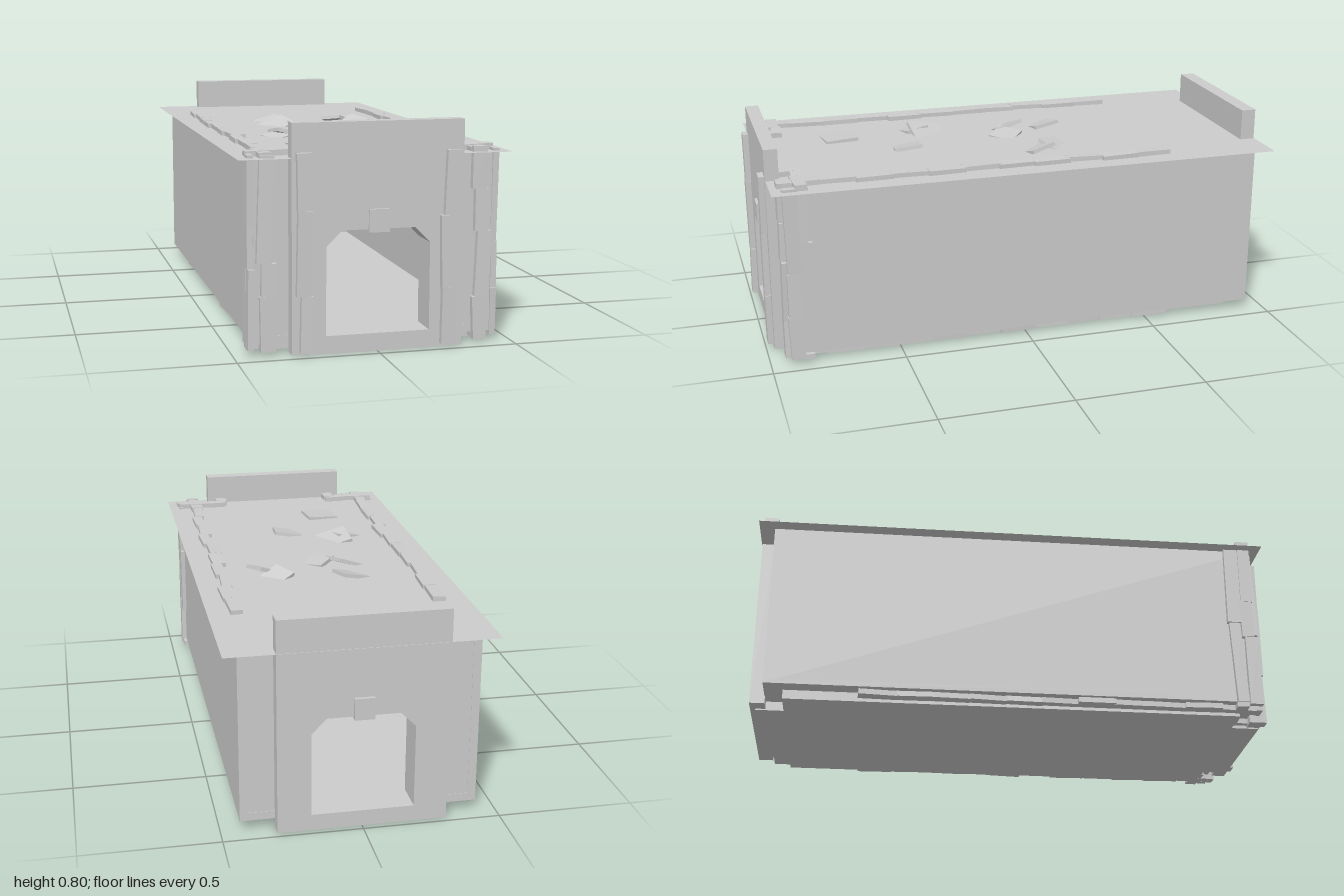
import * as THREE from 'three';

const stone = new THREE.MeshStandardMaterial({ color: 0xcccccc, flatShading: true });
stone.name = 'grey stone';
const stoneSheet = new THREE.MeshStandardMaterial({ color: 0xcccccc, side: THREE.DoubleSide });
stoneSheet.name = 'grey sheet';

// Small seeded generator, returns -1..1
let seed = 7;
const rnd = () => {
  seed = (seed * 16807) % 2147483647;
  return (seed / 2147483647) * 2 - 1;
};

function box(parent, name, w, h, d, x, y, z, rot = [0, 0, 0]) {
  const m = new THREE.Mesh(new THREE.BoxGeometry(w, h, d), stone);
  m.name = name;
  m.position.set(x, y, z);
  m.rotation.set(...rot);
  parent.add(m);
  return m;
}

// Upright wall with a chamfered doorway cut through it
function archWall(parent, name, halfW, y0, y1, z0, z1) {
  const s = new THREE.Shape([[-halfW, y0], [halfW, y0], [halfW, y1], [-halfW, y1]]
    .map(p => new THREE.Vector2(...p)));
  s.holes.push(new THREE.Path([[-0.185, 0.065], [-0.185, 0.375], [-0.13, 0.43],
    [0.13, 0.43], [0.185, 0.375], [0.185, 0.065]].map(p => new THREE.Vector2(...p))));
  const m = new THREE.Mesh(
    new THREE.ExtrudeGeometry(s, { depth: z1 - z0, bevelEnabled: false }), stone);
  m.name = name;
  m.position.z = z0;
  parent.add(m);
}

// Stack of crooked upright boards; breaks lists the heights of the joints
function boardColumn(parent, name, x, z, breaks, onSide) {
  const g = new THREE.Group();
  g.name = name;
  for (let i = 0; i < breaks.length - 1; i++) {
    const h = breaks[i + 1] - breaks[i];
    const w = 0.048 + 0.006 * rnd(), t = 0.022;
    const off = 0.01 * rnd(), tilt = 0.05 * rnd();
    if (onSide) box(g, 'board', t, h, w, x, breaks[i] + h / 2, z + off, [tilt, 0, 0.02 * rnd()]);
    else box(g, 'board', w, h, t, x + off, breaks[i] + h / 2, z, [0.02 * rnd(), 0, tilt]);
  }
  parent.add(g);
}

// Row of crooked flat boards running along z
function boardRow(parent, name, x, y, z0, z1, count) {
  const g = new THREE.Group();
  g.name = name;
  const step = (z1 - z0) / count;
  for (let i = 0; i < count; i++) {
    box(g, 'board', 0.045 + 0.006 * rnd(), 0.02, step * 1.04,
      x + 0.01 * rnd(), y, z0 + step * (i + 0.5), [0.02 * rnd(), 0.05 * rnd(), 0.04 * rnd()]);
  }
  parent.add(g);
}

export function createModel() {
  seed = 7;
  const model = new THREE.Group();
  model.name = 'gatehouse tunnel';

  // Base slab, narrower under both gates
  const pts = [[0.37, 0.86], [0.25, 0.86], [0.25, 0.965]];
  const outline = [
    ...pts, ...pts.map(([x, z]) => [-x, z]).reverse(),
    ...pts.map(([x, z]) => [-x, -z]), ...pts.map(([x, z]) => [x, -z]).reverse(),
  ].map(([x, z]) => new THREE.Vector2(x, -z));
  const base = new THREE.Mesh(
    new THREE.ExtrudeGeometry(new THREE.Shape(outline), { depth: 0.035, bevelEnabled: false }), stone);
  base.name = 'base slab';
  base.rotation.x = -Math.PI / 2;
  model.add(base);

  // Hollow body
  box(model, 'floor', 0.86, 0.03, 1.85, 0, 0.05, -0.005);
  for (const s of [1, -1]) box(model, 'sideWall', 0.03, 0.645, 1.85, s * 0.415, 0.3575, -0.005);
  archWall(model, 'frontInnerWall', 0.428, 0.036, 0.678, 0.85, 0.918);
  archWall(model, 'backInnerWall', 0.428, 0.036, 0.678, -0.928, -0.86);
  box(model, 'innerPillar', 0.17, 0.64, 0.17, -0.075, 0.36, 0);

  // Flat roof sheet
  const roof = new THREE.Mesh(new THREE.PlaneGeometry(0.97, 1.955), stoneSheet);
  roof.name = 'roof';
  roof.rotation.x = -Math.PI / 2;
  roof.position.set(0, 0.68, -0.01);
  model.add(roof);

  // Tall gate slabs with keystones
  archWall(model, 'frontGate', 0.305, 0.005, 0.8, 0.918, 0.97);
  archWall(model, 'backGate', 0.305, 0.005, 0.8, -0.985, -0.928);
  box(model, 'frontKeystone', 0.072, 0.08, 0.03, 0, 0.46, 0.966);
  box(model, 'backKeystone', 0.072, 0.08, 0.03, 0, 0.46, -0.983);

  // Boards on the gate face and front corners
  boardColumn(model, 'rightGateBoards', -0.265, 0.981, [0.015, 0.21, 0.505, 0.7]);
  boardColumn(model, 'leftGateBoards', 0.256, 0.981, [0.015, 0.215, 0.47, 0.695]);
  boardColumn(model, 'rightCornerBoards', -0.385, 0.93, [0.012, 0.205, 0.32, 0.69]);
  boardColumn(model, 'leftCornerBoards', 0.385, 0.93, [0.01, 0.165, 0.4, 0.55, 0.7]);
  boardColumn(model, 'rightSideBoards', -0.438, 0.9, [0.02, 0.3, 0.45, 0.69], true);
  boardColumn(model, 'leftSideBoards', 0.438, 0.9, [0.02, 0.19, 0.36, 0.69], true);
  boardColumn(model, 'leftRearSideBoards', 0.436, 0.855, [0.19, 0.48, 0.69], true);
  boardColumn(model, 'rightRearSideBoards', -0.436, 0.855, [0.03, 0.36, 0.69], true);

  // Board rows along the roof and the bottom edge
  for (const s of [1, -1]) {
    boardRow(model, 'roofBoards', s * 0.38, 0.687, -0.58, 0.92, 11);
    boardRow(model, 'bottomBoards', s * 0.39, 0.022, -0.58, 0.92, 11);
    // Cross pieces at the front corners
    for (const y of [0.69, 0.022]) {
      box(model, 'cornerBoard', 0.13, 0.02, 0.045, s * 0.38, y, 0.86, [0, 0.04 * s, 0.03]);
      box(model, 'cornerBoard', 0.09, 0.02, 0.04, s * 0.28, y, 0.855, [0, -0.05, -0.03]);
      box(model, 'cornerBoard', 0.045, 0.02, 0.11, s * 0.25, y, 0.91, [0.02, 0.05, 0]);
    }
  }

  // Loose tilted slates on the roof: x, z, size, turn, tilt
  for (const [x, z, size, turn, tilt] of [
    [-0.13, -0.06, 0.12, 0.3, 0.3], [-0.02, -0.04, 0.1, -0.7, -0.25],
    [-0.12, -0.22, 0.11, 0.25, 0.2], [0.17, -0.19, 0.1, 0.6, -0.25],
    [0.2, -0.1, 0.11, 0.4, 0.25], [-0.15, 0.26, 0.13, 0.1, -0.25],
    [0.03, 0.38, 0.11, -0.05, 0.17], [-0.2, 0.31, 0.1, 0.35, 0.15],
    [-0.16, 0.62, 0.13, 0.1, 0.06],
  ]) box(model, 'looseSlate', size, 0.014, size, x, 0.681, z, [tilt * 0.6, turn, tilt]);

  return model;
}
